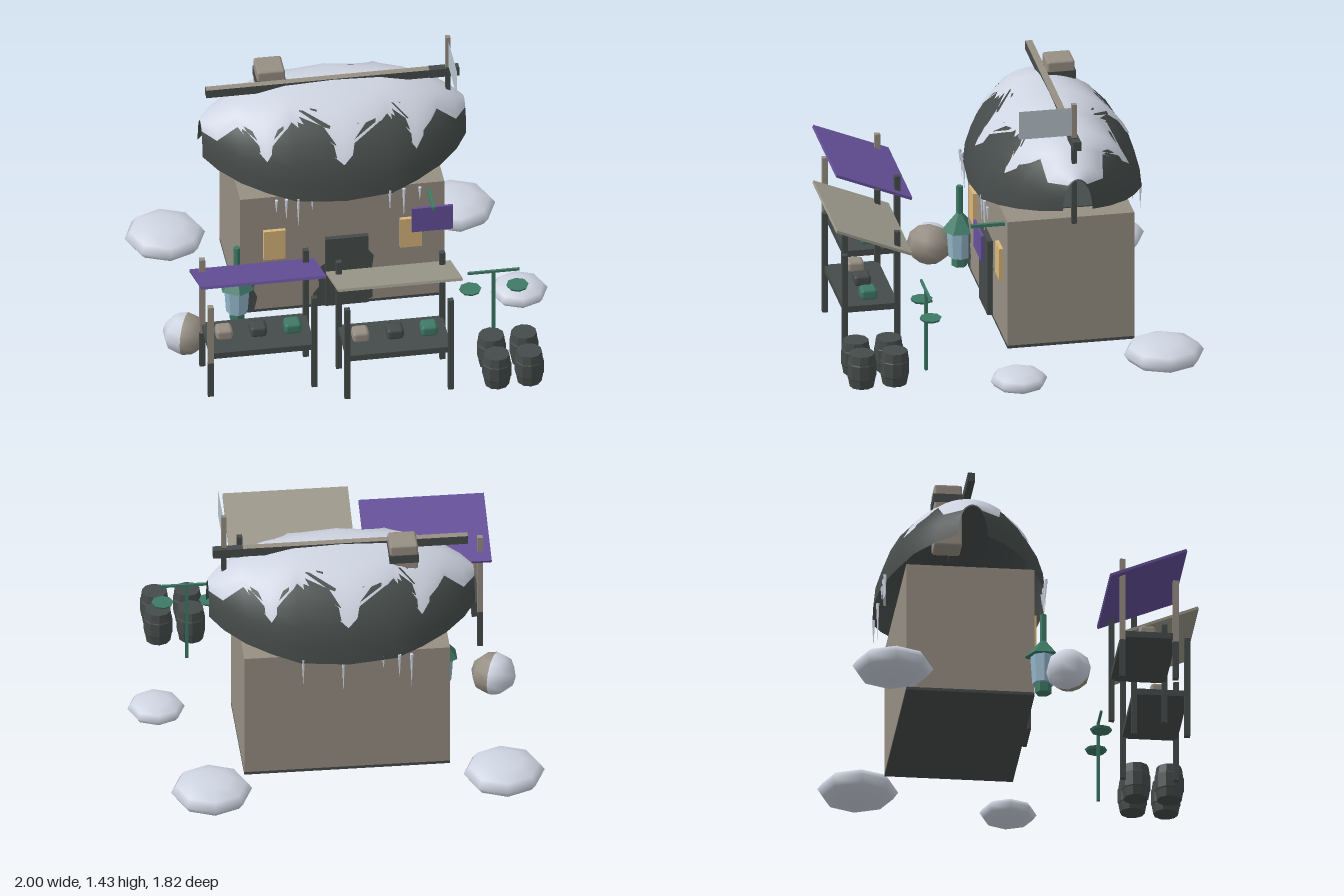
import * as THREE from 'three';
import { RoundedBoxGeometry } from 'three/addons/geometries/RoundedBoxGeometry.js';

const mat = (name, color, extra = {}) => {
  const m = new THREE.MeshStandardMaterial({ color, ...extra });
  m.name = name;
  return m;
};

export function createModel() {
  const root = new THREE.Group();
  root.name = 'snowyTradingHut';
  const snow = mat('snow', 0xced4e1), dark = mat('darkTimber', 0x454b4a);
  const shellMat = mat('roofHide', 0x454b4a, { side: THREE.DoubleSide });
  const wall = mat('taupe', 0x968e83), purple = mat('purpleCloth', 0x65509a);
  const canvas = mat('canvas', 0x9c998b), green = mat('greenMetal', 0x3e7966);
  const glow = mat('windowGlow', 0xd8b67a), glass = mat('lanternGlass', 0x93b6ca);
  const flagMat = mat('flagCloth', 0xb7c2cb, { side: THREE.DoubleSide });

  const add = (name, geo, material, x, y, z, parent = root) => {
    const m = new THREE.Mesh(geo, material);
    m.name = name;
    m.position.set(x, y, z);
    parent.add(m);
    return m;
  };
  // Box given by its limits
  const box = (name, material, x0, x1, y0, y1, z0, z1, parent = root) =>
    add(name, new THREE.BoxGeometry(x1 - x0, y1 - y0, z1 - z0), material,
      (x0 + x1) / 2, (y0 + y1) / 2, (z0 + z1) / 2, parent);
  const flat = (geo) => {
    const g = geo.toNonIndexed();
    g.computeVertexNormals();
    return g;
  };

  // Hut body
  box('hutWalls', wall, -0.54, 0.485, 0.115, 0.785, -0.595, 0.045);
  box('hutFloor', dark, -0.54, 0.485, 0.1, 0.115, -0.595, 0.045);
  box('ceilingPlate', dark, -0.42, 0.37, 0.785, 0.79, -0.44, -0.12);
  box('door', dark, -0.115, 0.1, 0.115, 0.515, 0.045, 0.072);
  box('windowLeft', glow, 0.26, 0.37, 0.42, 0.59, 0.045, 0.065);
  box('windowRight', glow, -0.425, -0.315, 0.42, 0.59, 0.045, 0.065);

  // Worn dark patches on the front wall
  const patch = (points) => {
    const s = new THREE.Shape(points.map(([x, y]) => new THREE.Vector2(x, y)));
    add('wornPatch', new THREE.ShapeGeometry(s), dark, 0, 0, 0.048);
  };
  patch([[-0.54, 0.115], [-0.47, 0.115], [-0.455, 0.19], [-0.475, 0.24], [-0.46, 0.3], [-0.54, 0.32]]);
  patch([[-0.17, 0.115], [-0.11, 0.115], [-0.11, 0.36], [-0.15, 0.33], [-0.145, 0.22], [-0.175, 0.18]]);
  patch([[0.1, 0.115], [0.125, 0.13], [0.12, 0.3], [0.13, 0.38], [0.1, 0.42]]);

  // Domed roof: arch sections [offset along x, half width, top, bottom, snow edge angle]
  const CX = -0.027, CZ = -0.28;
  const half = [
    [0, 0.425, 1.235, 0.79, 0.44], [0.24, 0.405, 1.225, 0.8, 0.98], [0.375, 0.345, 1.195, 0.822, 0.46],
    [0.5, 0.275, 1.155, 0.85, 0.98], [0.6, 0.175, 1.1, 0.872, 0.7], [0.662, 0.075, 1.05, 0.89, 0.95],
  ];
  const sections = [...half.slice(1).reverse().map(([u, ...r]) => [-u, ...r]), ...half];
  const arch = (grow, edge) => {
    const pos = [], idx = [], N = 14;
    for (const [u, w, top, bottom, a] of sections) {
      const start = edge ? a : 0;
      for (let j = 0; j <= N; j++) {
        const t = start + (Math.PI - 2 * start) * j / N;
        pos.push(CX + u, bottom + (top - bottom + grow) * Math.sin(t), CZ + (w + grow) * Math.cos(t));
      }
    }
    for (let i = 0; i < sections.length - 1; i++) for (let j = 0; j < N; j++) {
      const a = i * (N + 1) + j, b = a + N + 1;
      idx.push(a, b, a + 1, b, b + 1, a + 1);
    }
    const g = new THREE.BufferGeometry();
    g.setAttribute('position', new THREE.Float32BufferAttribute(pos, 3));
    g.setIndex(idx);
    g.computeVertexNormals();
    return g;
  };
  add('roofShell', arch(0, false), shellMat, 0, 0, 0);
  add('roofSnow', arch(0.007, true), snow, 0, 0, 0);

  // Ridge beam, chimney, flag pole
  add('ridgeBeam', new THREE.BoxGeometry(1.12, 0.045, 0.036), [dark, dark, wall, dark, dark, dark], -0.1, 1.222, -0.283);
  box('ridgeBeamTip', dark, 0.46, 0.61, 1.198, 1.245, -0.303, -0.263);
  add('chimney', new RoundedBoxGeometry(0.14, 0.33, 0.14, 1, 0.012), wall, -0.328, 1.133, -0.37);
  box('chimneyFoot', dark, -0.4, -0.255, 1.2, 1.245, -0.445, -0.3);
  box('poleLower', dark, 0.542, 0.566, 0.785, 1.25, -0.29, -0.265);
  box('poleUpper', wall, 0.542, 0.566, 1.25, 1.43, -0.29, -0.265);
  add('flag', new THREE.PlaneGeometry(0.27, 0.15), flagMat, 0.555, 1.335, -0.135).rotation.y = Math.PI / 2;

  // Icicles along both eaves
  const icicle = (x, z, h) => {
    add('icicle', new THREE.ConeGeometry(0.009, h, 5), snow, x, 0.815 - h / 2, z).rotation.x = Math.PI;
  };
  [-0.37, -0.32, -0.26, -0.19, 0.2, 0.27, 0.35].forEach((x, i) => icicle(x, 0.12, 0.08 + 0.05 * (i % 3)));
  [-0.34, -0.28, -0.2, 0, 0.2].forEach((x, i) => icicle(x, -0.68, 0.2 - 0.06 * (i % 3)));

  // Market stalls
  const stall = (name, cx, cz, cloth, leftPost) => {
    const g = new THREE.Group();
    g.name = name;
    g.position.set(cx, 0, cz);
    root.add(g);
    const awning = add('awning', new THREE.BoxGeometry(0.625, 0.014, 0.41), cloth, 0, 0.708, 0, g);
    awning.rotation.x = -0.387;
    box('table', dark, -0.262, 0.262, 0.32, 0.352, -0.13, 0.145, g);
    for (const sx of [-1, 1]) for (const [z, top] of [[-0.125, 0.74], [0.14, 0.635]]) {
      const x = sx * 0.26, upper = sx < 0 ? leftPost : dark;
      box('postLower', dark, x - 0.014, x + 0.014, 0.1, 0.3, z - 0.014, z + 0.014, g);
      box('postUpper', upper, x - 0.014, x + 0.014, 0.3, top, z - 0.014, z + 0.014, g);
    }
    [wall, dark, green].forEach((m, i) =>
      add('goods', new RoundedBoxGeometry(0.085, 0.06, 0.085, 1, 0.018), m, (i - 1) * 0.172, 0.382, 0.005, g));
  };
  stall('purpleStall', -0.538, 0.58, purple, wall);
  stall('canvasStall', 0.127, 0.708, canvas, dark);

  // Hanging sign
  box('signArm', green, 0.397, 0.413, 0.735, 0.751, 0.045, 0.215);
  box('signBoard', purple, 0.3, 0.507, 0.59, 0.73, 0.168, 0.182);

  // Lantern
  const lantern = (name, rt, rb, y0, y1, m, n = 6) =>
    add(name, flat(new THREE.CylinderGeometry(rt, rb, y1 - y0, n)), m, -0.563, (y0 + y1) / 2, 0.085);
  lantern('lanternBase', 0.04, 0.04, 0.1, 0.15, green);
  lantern('lanternGlass', 0.065, 0.055, 0.15, 0.3, glass, 8);
  lantern('lanternCap', 0.015, 0.092, 0.295, 0.385, green);
  lantern('lanternStem', 0.017, 0.017, 0.38, 0.528, green);

  // Weighing scales
  box('scalePost', green, 0.652, 0.668, 0.1, 0.53, 0.482, 0.498);
  box('scaleBeam', green, 0.53, 0.79, 0.522, 0.534, 0.484, 0.496);
  for (const x of [0.543, 0.78])
    add('scalePan', new THREE.CylinderGeometry(0.056, 0.05, 0.012, 8), green, x, 0.43, 0.49);

  // Barrels
  const profile = [[0, 0], [0.062, 0], [0.07, 0.045], [0.073, 0.05], [0.073, 0.125], [0.07, 0.13], [0.064, 0.175], [0, 0.175]]
    .map(([r, y]) => new THREE.Vector2(r, y));
  const barrel = flat(new THREE.LatheGeometry(profile, 10));
  for (const x of [0.62, 0.783]) for (const z of [0.672, 0.838])
    add('barrel', barrel, dark, x, 0.1, z);

  // Snow mounds
  for (const [x, y, z, r, h] of [[-0.8, 0.095, -0.69, 0.202, 0.075], [0.66, 0.095, -0.71, 0.202, 0.075], [0.857, 0.098, 0.06, 0.143, 0.053]])
    add('snowMound', new THREE.SphereGeometry(1, 8, 6), snow, x, y, z).scale.set(r, h, r);

  // Two-tone ball: bare half faces the stalls, snowy half faces away
  const ball = new THREE.Group();
  ball.name = 'snowyBoulder';
  ball.position.set(-0.838, 0.105, 0.182);
  ball.scale.set(1.1, 1, 1.1);
  root.add(ball);
  const START = Math.PI * 0.37;
  add('bareHalf', new THREE.SphereGeometry(0.105, 4, 6, START, Math.PI), wall, 0, 0, 0, ball);
  add('snowyHalf', new THREE.SphereGeometry(0.105, 4, 6, START + Math.PI, Math.PI), snow, 0, 0, 0, ball);

  return root;
}
